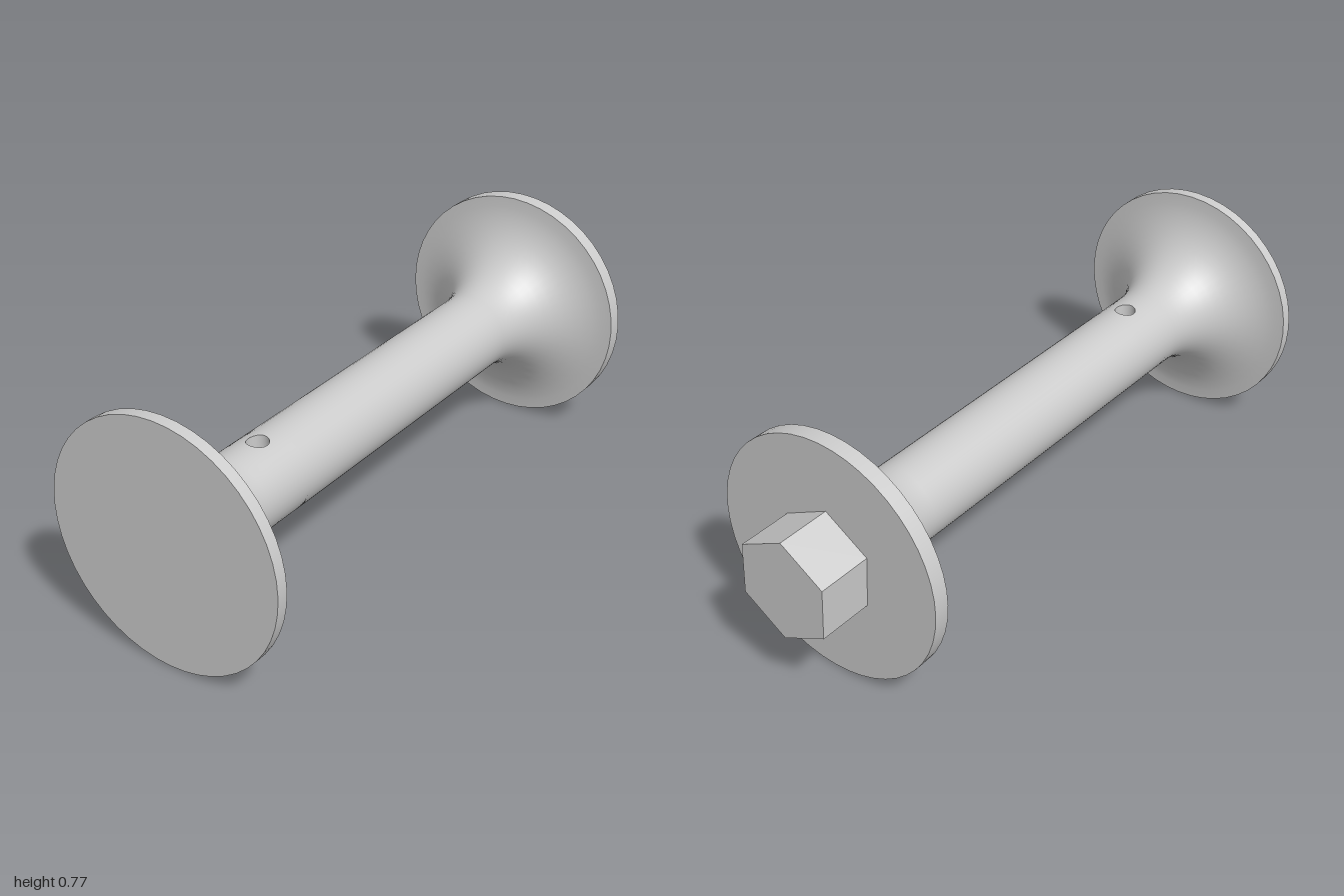
import * as THREE from 'three';

const SEG = 48;            // sides around the main axis
const R = 0.127;           // shaft radius
const DISC = 0.383;        // flange radius
const FILLET = DISC - R;   // flare radius
const BACK = -0.777, FRONT = 0.963;   // inner faces of the two flanges
const HOLE = { z: 0.59, r: 0.033, half: 0.07 };

const grey = new THREE.MeshStandardMaterial({ color: 0xcccccc });
const greyFlat = new THREE.MeshStandardMaterial({ color: 0xcccccc, flatShading: true });

function add(group, name, geometry, material = grey) {
  const mesh = new THREE.Mesh(geometry, material);
  mesh.name = name;
  group.add(mesh);
  return mesh;
}

// Disc or prism lying along z
function zCylinder(radius, z0, z1, sides) {
  return new THREE.CylinderGeometry(radius, radius, z1 - z0, sides)
    .rotateX(Math.PI / 2).translate(0, 0, (z0 + z1) / 2);
}

// Profile of [radius, z] points, turned around z
function zLathe(points) {
  return new THREE.LatheGeometry(points.map(([r, z]) => new THREE.Vector2(r, z)), SEG)
    .rotateX(Math.PI / 2);
}

// Quarter-circle flare from the shaft out to a flange; dir = +1 opens to the front
function flare(flangeZ, dir) {
  const pts = [];
  for (let i = 0; i <= 12; i++) {
    const a = (i / 12) * Math.PI / 2;
    pts.push([DISC - FILLET * Math.cos(a), flangeZ + dir * FILLET * (Math.sin(a) - 1)]);
  }
  return pts;
}

// Closed loops of n points joined ring by ring; point(i, j) and normal(p, i) return arrays
function loft(n, rings, point, normal) {
  const pos = [], nor = [], index = [];
  for (let j = 0; j <= rings; j++) {
    for (let i = 0; i < n; i++) {
      const p = point(i, j);
      pos.push(...p);
      nor.push(...normal(p, i));
      if (j < rings) {
        const a = j * n + i, b = j * n + (i + 1) % n;
        index.push(a, b, a + n, b, b + n, a + n);
      }
    }
  }
  const g = new THREE.BufferGeometry();
  g.setAttribute('position', new THREE.Float32BufferAttribute(pos, 3));
  g.setAttribute('normal', new THREE.Float32BufferAttribute(nor, 3));
  g.setIndex(index);
  return g;
}

// Points around a square from -1 to 1, used to blend the round hole into the shaft
function squareLoop(na, nb) {
  const loop = [];
  for (let i = 0; i < na; i++) loop.push([1 - 2 * i / na, 1]);
  for (let i = 0; i < nb; i++) loop.push([-1, 1 - 2 * i / nb]);
  for (let i = 0; i < na; i++) loop.push([-1 + 2 * i / na, -1]);
  for (let i = 0; i < nb; i++) loop.push([1, -1 + 2 * i / nb]);
  return loop;
}

export function createModel() {
  const model = new THREE.Group();
  model.name = 'flangedSpool';
  const body = new THREE.Group();
  body.name = 'body';
  body.position.y = 0.384;
  model.add(body);

  // End flanges
  add(body, 'frontFlange', zCylinder(DISC, FRONT, 1, SEG));
  add(body, 'backFlange', zCylinder(DISC, -0.828, BACK, SEG));

  // Shaft with flared ends, interrupted at the drilled section
  const z0 = HOLE.z - HOLE.half, z1 = HOLE.z + HOLE.half;
  add(body, 'shaft', zLathe([...flare(BACK, -1).reverse(), [R, z0]]));
  add(body, 'frontFlare', zLathe([[R, z1], ...flare(FRONT, 1)]));

  // Drilled section: two half shells, each with a round opening
  const loop = squareLoop(SEG / 2, 8);
  const phi = loop.map(([a, b]) => Math.atan2(b, a));
  const rings = 8;
  const shell = loft(loop.length, rings, (i, j) => {
    const t = j / rings, [a, b] = loop[i];
    const angle = THREE.MathUtils.lerp(
      Math.asin(HOLE.r * Math.cos(phi[i]) / R), a * Math.PI / 2, t);
    const z = THREE.MathUtils.lerp(HOLE.r * Math.sin(phi[i]), b * HOLE.half, t);
    return [R * Math.sin(angle), R * Math.cos(angle), HOLE.z + z];
  }, p => [p[0] / R, p[1] / R, 0]);
  add(body, 'drilledShaftTop', shell);
  add(body, 'drilledShaftBottom', shell).rotation.z = Math.PI;

  // Wall of the cross hole
  add(body, 'crossHole', loft(loop.length, 1, (i, j) => {
    const x = HOLE.r * Math.cos(phi[i]);
    return [x, (j ? 1 : -1) * Math.sqrt(R * R - x * x), HOLE.z + HOLE.r * Math.sin(phi[i])];
  }, (p, i) => [-Math.cos(phi[i]), 0, -Math.sin(phi[i])]));

  // Hexagonal drive head, turned slightly off upright
  add(body, 'hexHead', zCylinder(0.167, -1, -0.828, 6).rotateZ(Math.PI / 60), greyFlat);

  return model;
}
